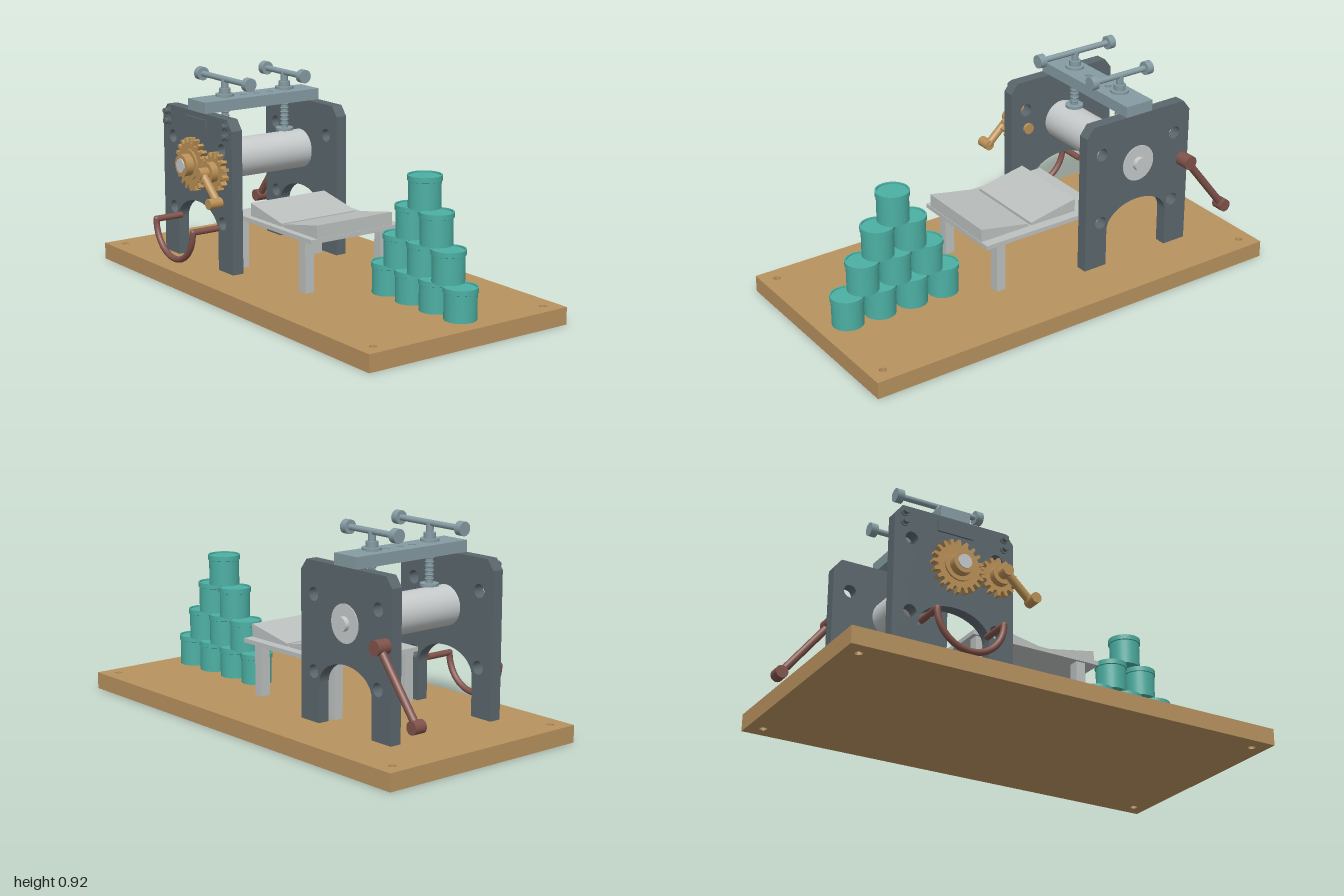
import * as THREE from 'three';

const paint = (name, color) => {
  const m = new THREE.MeshStandardMaterial({ color });
  m.name = name;
  return m;
};

export function createModel() {
  const wood = paint('wood', 0xb8925f);
  const iron = paint('dark iron', 0x5b676d);
  const steel = paint('blue steel', 0x859ba2);
  const silver = paint('silver', 0xc6caca);
  const tin = paint('table grey', 0xbcc1c0);
  const teal = paint('teal', 0x4cafa3);
  const rust = paint('red brown', 0x80524a);
  const brass = paint('brass', 0xba9056);

  const model = new THREE.Group();
  const V = (x, y, z) => new THREE.Vector3(x, y, z);

  function add(name, geometry, material, x = 0, y = 0, z = 0) {
    const mesh = new THREE.Mesh(geometry, material);
    mesh.name = name;
    mesh.position.set(x, y, z);
    model.add(mesh);
    return mesh;
  }
  // Box given by its limits on each axis
  function box(name, material, x0, x1, y0, y1, z0, z1) {
    return add(name, new THREE.BoxGeometry(x1 - x0, y1 - y0, z1 - z0), material,
      (x0 + x1) / 2, (y0 + y1) / 2, (z0 + z1) / 2);
  }
  // Cylinder between two points
  function rod(name, material, a, b, r, sides = 28) {
    const d = b.clone().sub(a);
    const mesh = add(name, new THREE.CylinderGeometry(r, r, d.length(), sides), material);
    mesh.position.copy(a).add(b).multiplyScalar(0.5);
    mesh.quaternion.setFromUnitVectors(V(0, 1, 0), d.normalize());
    return mesh;
  }
  const rodZ = (name, mat, x, y, z0, z1, r, sides) => rod(name, mat, V(x, y, z0), V(x, y, z1), r, sides);
  const rodY = (name, mat, x, z, y0, y1, r) => rod(name, mat, V(x, y0, z), V(x, y1, z), r);

  function punch(shape, x, y, r) {
    const hole = new THREE.Path();
    hole.absarc(x, y, r, 0, Math.PI * 2, true);
    shape.holes.push(hole);
  }
  const poly = pts => new THREE.Shape(pts.map(p => new THREE.Vector2(...p)));
  const rect = (x0, x1, y0, y1) => poly([[x0, y0], [x1, y0], [x1, y1], [x0, y1]]);
  const extrude = (shape, depth) =>
    new THREE.ExtrudeGeometry(shape, { depth, bevelEnabled: false, curveSegments: 20 });

  // Base board with corner holes
  const board = rect(-1, 1, -0.51, 0.51);
  for (const sx of [-1, 1]) for (const sz of [-1, 1]) punch(board, sx * 0.933, sz * 0.44, 0.016);
  add('baseBoard', extrude(board, 0.075).rotateX(-Math.PI / 2), wood);

  // Side plates: chamfered top, arched foot, four holes
  const cx = -0.467, cy = 0.525;
  const plate = new THREE.Shape();
  plate.moveTo(-0.745, 0.075);
  plate.lineTo(-0.63, 0.075);
  plate.lineTo(-0.63, 0.245);
  plate.absellipse(cx, 0.245, 0.163, 0.108, Math.PI, 0, true);
  plate.lineTo(-0.304, 0.075);
  plate.lineTo(-0.19, 0.075);
  plate.lineTo(-0.19, 0.71);
  plate.lineTo(-0.225, 0.755);
  plate.lineTo(-0.71, 0.755);
  plate.lineTo(-0.745, 0.71);
  for (const x of [-0.665, -0.27]) for (const y of [0.29, 0.615]) punch(plate, x, y, 0.029);
  add('frontPlate', extrude(plate, 0.053), iron, 0, 0, 0.281);
  add('backPlate', extrude(plate, 0.052), iron, 0, 0, -0.276);

  // Name plate and bolts
  box('namePlate', iron, -0.55, -0.385, 0.68, 0.73, 0.333, 0.342);
  for (const x of [-0.7, -0.235]) for (const y of [0.68, 0.725]) {
    rodZ('boltHead', iron, x, y, 0.33, 0.358, 0.014, 6);
    rodZ('boltWasher', iron, x, y, 0.33, 0.34, 0.019);
  }

  // Top beam with holes
  const beam = rect(-0.535, -0.398, -0.334, 0.276);
  for (const z of [-0.055, 0.018, 0.085]) punch(beam, cx, -z, 0.015);
  add('topBeam', extrude(beam, 0.05).rotateX(-Math.PI / 2), steel, 0, 0.755, 0);

  // Pressure screws with T handles
  for (const [z, half] of [[0.185, 0.205], [-0.135, 0.163]]) {
    rodY('screwCollar', steel, cx, z, 0.81, 0.821, 0.041);
    rodY('screwBoss', steel, cx, z, 0.8, 0.845, 0.026);
    rodY('screwPost', steel, cx, z, 0.63, 0.885, 0.016);
    rodY('screwFoot', steel, cx, z, 0.62, 0.632, 0.04);
    for (let i = 0; i < 6; i++) {
      const ring = add('screwThread', new THREE.TorusGeometry(0.016, 0.004, 6, 20), steel, cx, 0.65 + i * 0.018, z);
      ring.rotation.x = Math.PI / 2;
    }
    rod('screwHandle', steel, V(cx - half, 0.885, z), V(cx + half, 0.885, z), 0.013);
    for (const s of [-1, 1])
      rod('handleKnob', steel, V(cx + s * (half - 0.032), 0.885, z), V(cx + s * half, 0.885, z), 0.03);
  }

  // Roller, its shaft and rear bearing
  rodZ('roller', silver, cx, cy, -0.226, 0.283, 0.088, 48);
  rodZ('rollerBearing', silver, cx, cy, -0.28, -0.27, 0.082, 40);
  rodZ('rollerShaft', silver, cx, cy, -0.302, 0.424, 0.031);

  // Gears
  function gear(name, x, y, outer, root, teeth, phase) {
    const pts = [];
    for (let i = 0; i < teeth; i++)
      [[-0.3, root], [-0.17, outer], [0.17, outer], [0.3, root]].forEach(([o, r]) => {
        const a = (i + o + phase) * Math.PI * 2 / teeth;
        pts.push([Math.cos(a) * r, Math.sin(a) * r]);
      });
    add(name, extrude(poly(pts), 0.028), brass, x, y, 0.345);
  }
  const px = -0.28;
  gear('largeGear', cx, cy, 0.119, 0.096, 20, 0);
  gear('smallGear', px, cy, 0.086, 0.066, 14, 0.5);
  rodZ('largeGearSpacer', brass, cx, cy, 0.33, 0.35, 0.06);
  rodZ('largeGearRim', brass, cx, cy, 0.37, 0.381, 0.068, 40);
  rodZ('largeGearHub', brass, cx, cy, 0.37, 0.418, 0.049);
  rodZ('smallGearHub', brass, px, cy, 0.37, 0.405, 0.045);
  rodZ('smallGearShaft', brass, px, cy, 0.268, 0.45, 0.025);

  // Front crank
  rod('frontCrankArm', brass, V(px, cy, 0.427), V(-0.163, 0.418, 0.427), 0.018);
  rodZ('frontCrankGrip', brass, -0.163, 0.418, 0.412, 0.475, 0.023);

  // Bent carrying handle
  for (const x of [-0.612, -0.31])
    rod('loopHandleEnd', rust, V(x, 0.262, 0.33), V(x, 0.262, 0.462), 0.014);
  const loop = new THREE.TorusGeometry(0.151, 0.014, 14, 36, Math.PI).rotateZ(Math.PI);
  add('loopHandle', loop, rust, -0.461, 0.262, 0.462);
  for (const x of [-0.612, -0.31])
    add('loopHandleElbow', new THREE.SphereGeometry(0.014, 16, 12), rust, x, 0.262, 0.462);

  // Rear crank
  rodZ('rearCrankBoss', rust, -0.713, 0.478, -0.341, -0.274, 0.032);
  rod('rearCrankArm', rust, V(-0.713, 0.478, -0.311), V(-0.93, 0.203, -0.311), 0.017);
  rodZ('rearCrankGrip', rust, -0.93, 0.203, -0.34, -0.284, 0.028);

  // Feed table with two sloping leaves
  box('tableTop', tin, -0.33, 0.28, 0.303, 0.322, -0.215, 0.255);
  for (const x of [-0.29, 0.198]) for (const z of [-0.177, 0.221])
    box('tableLeg', tin, x - 0.022, x + 0.022, 0.075, 0.304, z - 0.023, z + 0.023);
  const leaves = [
    [[-0.21, 0.322], [0.022, 0.322], [0.022, 0.335], [-0.21, 0.38]],
    [[0.036, 0.322], [0.278, 0.322], [0.278, 0.38], [0.036, 0.335]],
  ];
  for (const pts of leaves) add('tableLeaf', extrude(poly(pts), 0.395), tin, 0, 0, -0.17);

  // Pyramid of drums with rolled rims and sunken lids
  const profile = [[0, 0], [0.068, 0], [0.068, 0.112], [0.0725, 0.114], [0.0725, 0.136],
    [0.066, 0.136], [0.066, 0.129], [0, 0.129]];
  // Repeated points keep the edges sharp
  const drum = new THREE.LatheGeometry(
    profile.flatMap((p, i) => (i % 7 ? [p, p] : [p])).map(p => new THREE.Vector2(...p)), 36);
  for (let row = 0; row < 4; row++)
    for (let i = 0; i < 4 - row; i++)
      add('drum', drum, teal, 0.401 + row * 0.0775 + i * 0.155, 0.075 + row * 0.138, -0.053);

  return model;
}
